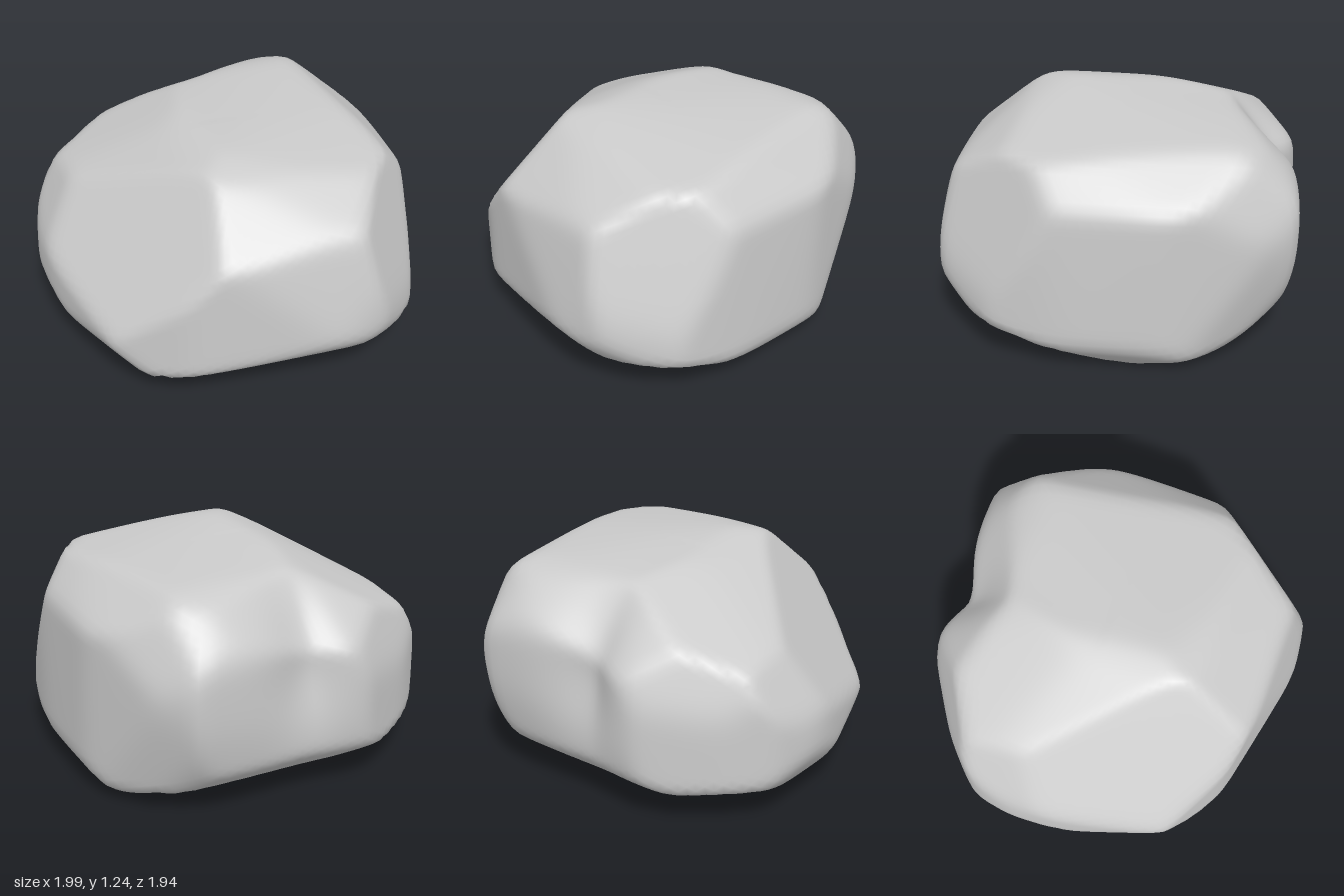
import * as THREE from 'three';
import { mergeVertices } from 'three/addons/utils/BufferGeometryUtils.js';

const MID = 0.62;       // height of the boulder's centre
const SHARPNESS = 70;   // higher gives tighter edges between facets
const ALLOWANCE = 1.015; // facets sit slightly out, as rounding eats into them

// Convex outlines: width by height, depth by height, width by depth
const frontOutline = [
  [-0.77, 0.13], [0.83, 0], [1, 0.2], [0.96, 0.95], [0.76, 1.18], [-0.07, 1.25],
  [-0.26, 1.19], [-0.78, 0.9], [-0.98, 0.55], [-1, 0.36], [-0.88, 0.17]];
const sideOutline = [
  [-0.15, 0], [0.82, 0.2], [0.97, 0.38], [0.85, 0.95], [0.8, 1.03], [0.58, 1.17], [0.3, 1.25],
  [-0.6, 1.2], [-0.79, 1.14], [-0.91, 1], [-0.97, 0.86], [-0.97, 0.6], [-0.9, 0.27], [-0.74, 0.14]];
const topOutline = [
  [-0.37, -0.92], [0.62, -0.97], [0.78, -0.8], [0.97, -0.29], [1, 0.17], [0.93, 0.6], [0.65, 0.91],
  [0.38, 0.97], [-0.4, 0.82], [-0.77, 0.6], [-0.97, 0], [-1, -0.22], [-0.94, -0.46], [-0.75, -0.67]];

// Oblique facets: normal, then distance from the centre
const upperFacets = [
  [-0.72, 0.58, 0.38, 0.645], // broad front corner slope
  [-0.1, 0.75, 0.65, 0.77],
  [0.055, 0.857, 0.51, 0.755],
  [0.75, 0.3, 0.57, 0.97],
  [0.62, 0.77, -0.11, 0.88],
  [0.77, 0.35, -0.53, 1.064],
  [0.289, 0.64, -0.711, 1.025],
  [-0.18, 0.73, -0.66, 0.81],
  [-0.557, 0.317, -0.767, 0.93],
  [-0.434, 0.888, -0.152, 0.638],
  [0.12, 0.99, 0.1, 0.645],
];
const lowerFacets = [
  [0, -0.833, 0.55, 0.787],       // front underside
  [0.299, -0.906, 0.299, 0.795],
  [-0.299, -0.906, -0.299, 0.775], // back underside
  [-0.08, -0.866, -0.494, 0.803],
  [0.38, -0.553, 0.74, 1.05],
  [0.617, -0.78, -0.104, 1.021],
  [0.761, -0.226, -0.611, 1.07],
  [0.44, -0.48, -0.76, 1.07],
  [-0.695, -0.67, -0.253, 1.01],
  [-0.49, -0.867, 0.081, 0.851],
  [-0.734, -0.58, 0.35, 0.938],
];

// Turn every outline edge into an upright facet of the stone
function outlineFacets(points, across, up, centre) {
  return points.map(([p, q], i) => {
    const [p2, q2] = points[(i + 1) % points.length];
    const a = q2 - q, b = p - p2;
    return new THREE.Vector3()
      .addScaledVector(across, a).addScaledVector(up, b)
      .divideScalar((a * p + b * (q - centre)) * ALLOWANCE);
  });
}

// Soft intersection of all facets, with a shallow groove down the back
function boulderGeometry() {
  const X = new THREE.Vector3(1, 0, 0), Y = new THREE.Vector3(0, 1, 0), Z = new THREE.Vector3(0, 0, 1);
  const facets = [
    ...outlineFacets(frontOutline, X, Y, MID),
    ...outlineFacets(sideOutline, Z, Y, MID),
    ...outlineFacets(topOutline, X, Z, 0),
    ...[...upperFacets, ...lowerFacets].map(
      ([x, y, z, dist]) => new THREE.Vector3(x, y, z).divideScalar(dist * ALLOWANCE)),
  ];
  const sphere = new THREE.IcosahedronGeometry(1, 24);
  sphere.deleteAttribute('uv');
  sphere.deleteAttribute('normal');
  const geometry = mergeVertices(sphere, 1e-4);
  const position = geometry.attributes.position;
  const d = new THREE.Vector3();
  for (let i = 0; i < position.count; i++) {
    d.fromBufferAttribute(position, i).normalize();
    let sum = 0;
    for (const facet of facets) sum += Math.max(0, facet.dot(d)) ** SHARPNESS;
    let radius = sum ** (-1 / SHARPNESS);
    if (d.z < 0) {
      // the groove's wall is longer on the +x side
      const offset = d.x + 0.06;
      const across = offset / (offset > 0 ? 0.26 : 0.16), up = (d.y - 0.2) / 0.42;
      radius *= 1 - 0.11 * Math.exp(-across * across - up * up);
    }
    position.setXYZ(i, d.x * radius, MID + d.y * radius, d.z * radius);
  }
  geometry.computeVertexNormals();
  return geometry;
}

export function createModel() {
  const group = new THREE.Group();
  group.name = 'rock';
  const boulder = new THREE.Mesh(boulderGeometry(), new THREE.MeshStandardMaterial({ color: 0xcccccc }));
  boulder.name = 'boulder';
  group.add(boulder);
  return group;
}
